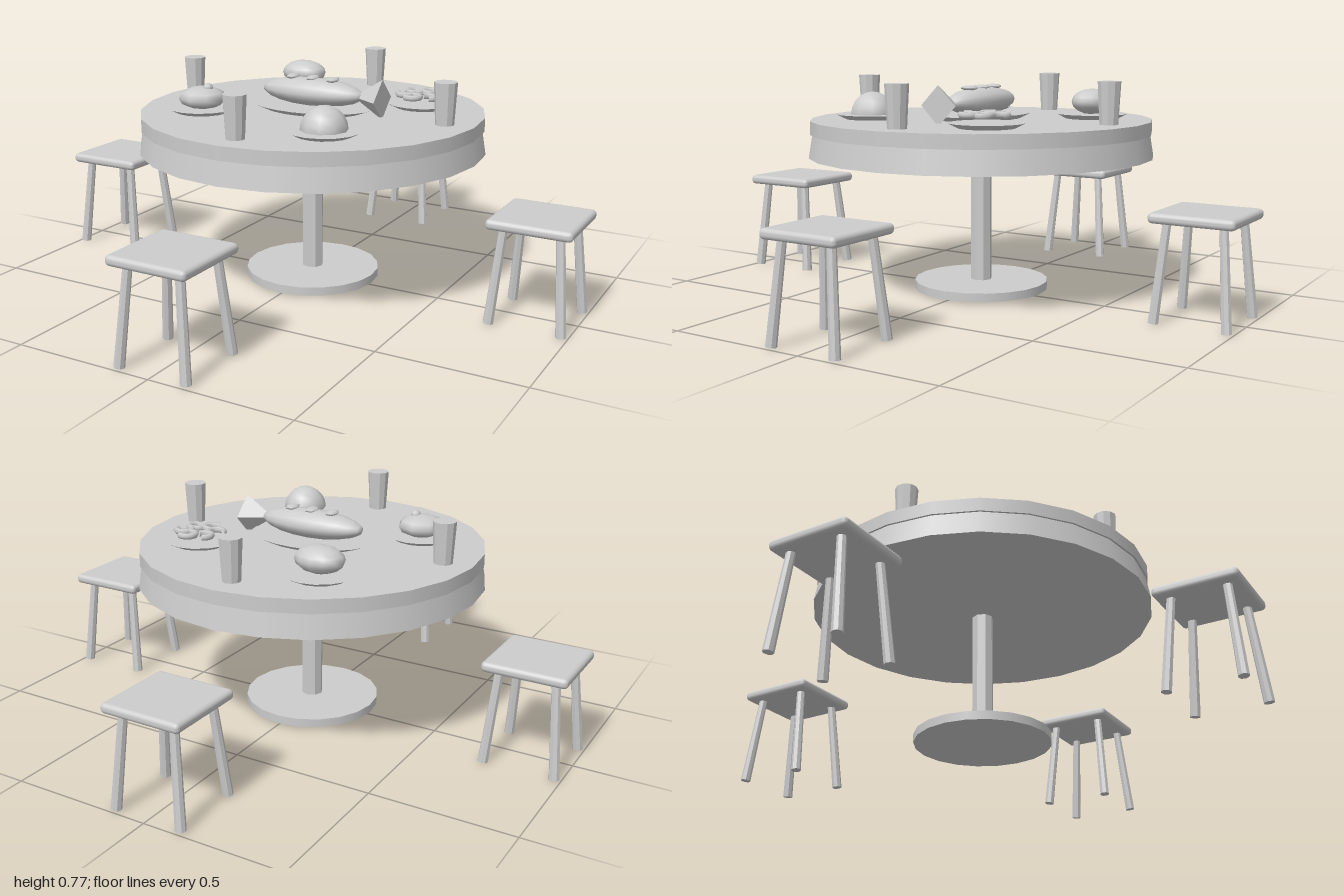
import * as THREE from 'three';
import { RoundedBoxGeometry } from 'three/addons/geometries/RoundedBoxGeometry.js';

const plaster = new THREE.MeshStandardMaterial({ color: 0xcccccc });
plaster.name = 'plainGrey';

// Faceted normals for low-sided parts
function faceted(geometry) {
  const g = geometry.toNonIndexed();
  g.computeVertexNormals();
  return g;
}

function add(parent, name, geometry, x = 0, y = 0, z = 0) {
  const mesh = new THREE.Mesh(geometry, plaster);
  mesh.name = name;
  mesh.position.set(x, y, z);
  parent.add(mesh);
  return mesh;
}

function addGroup(parent, name, x = 0, y = 0, z = 0) {
  const group = new THREE.Group();
  group.name = name;
  group.position.set(x, y, z);
  parent.add(group);
  return group;
}

// Cylinder given by its bottom and top heights
function column(rTop, rBottom, y0, y1, sides) {
  return new THREE.CylinderGeometry(rTop, rBottom, y1 - y0, sides).translate(0, (y0 + y1) / 2, 0);
}

function ellipsoid(rx, ry, rz, w = 12, h = 8) {
  return new THREE.SphereGeometry(1, w, h).scale(rx, ry, rz);
}

// Round table on a single foot
function buildTable(root) {
  const table = addGroup(root, 'table');
  add(table, 'tableTop', column(0.61, 0.61, 0.582, 0.63, 24));
  add(table, 'tableSkirt', column(0.603, 0.617, 0.5, 0.582, 24));
  add(table, 'tablePole', faceted(column(0.038, 0.038, 0.03, 0.5, 8)));
  add(table, 'tableFoot', column(0.242, 0.242, 0.013, 0.043, 20));
}

// Stool with four splayed legs
function buildStool(root, x, z) {
  const stool = addGroup(root, 'stool', x, 0, z);
  add(stool, 'seat', new RoundedBoxGeometry(0.29, 0.035, 0.29, 2, 0.015), 0, 0.3525, 0);
  const up = new THREE.Vector3(0, 1, 0);
  for (const sx of [-1, 1]) for (const sz of [-1, 1]) {
    const foot = new THREE.Vector3(sx * 0.123, 0.008, sz * 0.123);
    const top = new THREE.Vector3(sx * 0.094, 0.342, sz * 0.094);
    const dir = top.clone().sub(foot);
    const mid = top.clone().add(foot).multiplyScalar(0.5);
    const leg = add(stool, 'stoolLeg', faceted(new THREE.CylinderGeometry(0.015, 0.018, dir.length(), 8)), mid.x, mid.y, mid.z);
    leg.quaternion.setFromUnitVectors(up, dir.normalize());
  }
}

// Shallow plate with an outward-sloping side
function buildDish(root, name, x, z) {
  const dish = addGroup(root, name, x, 0, z);
  add(dish, 'plate', column(0.128, 0.095, 0.63, 0.647, 16));
  return dish;
}

// Whole fish on an oval platter
function buildFish(root) {
  const dish = addGroup(root, 'fishDish');
  add(dish, 'platter', column(1, 0.8, 0.63, 0.648, 24).scale(0.234, 1, 0.157));
  add(dish, 'fishBody', ellipsoid(0.05, 0.2, 0.073, 12, 10).rotateZ(Math.PI / 2), 0, 0.693, 0);
  const tail = faceted(new THREE.ConeGeometry(0.07, 0.11, 4).rotateZ(Math.PI / 2));
  add(dish, 'fishTail', tail, 0.218, 0.69, 0);
  for (const x of [-0.08, 0, 0.08]) add(dish, 'garnishSlice', ellipsoid(0.022, 0.009, 0.034, 6, 5), x, 0.742, 0);
}

export function createModel() {
  const root = new THREE.Group();
  root.name = 'diningSet';
  buildTable(root);

  // Stools and cups, one on each side
  for (const [x, z] of [[1, 0], [-1, 0], [0, 1], [0, -1]]) {
    buildStool(root, x * 0.855, z * 0.855);
    add(root, 'cup', faceted(column(0.04, 0.032, 0.63, 0.775, 10)), x * 0.505, 0, z * 0.505);
  }

  buildFish(root);

  // Bread roll
  const bread = buildDish(root, 'breadDish', -0.222, -0.33);
  add(bread, 'breadRoll', ellipsoid(0.088, 0.046, 0.068), 0, 0.69, 0);

  // Rice mound
  const rice = buildDish(root, 'riceDish', 0.22, 0.32);
  const dome = new THREE.SphereGeometry(0.08, 10, 5, 0, Math.PI * 2, 0, Math.PI / 2);
  add(rice, 'riceMound', dome, 0, 0.647, 0);

  // Dumpling with a small knob
  const dumpling = buildDish(root, 'dumplingDish', -0.323, 0.217);
  add(dumpling, 'dumplingBody', ellipsoid(0.085, 0.04, 0.085, 8, 6), 0, 0.678, 0);
  add(dumpling, 'dumplingKnob', ellipsoid(0.018, 0.018, 0.018, 8, 6), 0.024, 0.714, 0);

  // Ring of curled shrimp
  const shrimp = buildDish(root, 'shrimpDish', 0.323, -0.225);
  for (let i = 0; i < 6; i++) {
    const a = (i / 6) * Math.PI * 2 + 0.3;
    const curl = new THREE.TorusGeometry(0.028, 0.011, 6, 10, Math.PI * 1.3).rotateX(-Math.PI / 2);
    const mesh = add(shrimp, 'shrimp', curl, Math.cos(a) * 0.058, 0.674, -Math.sin(a) * 0.058);
    mesh.rotation.y = a - 0.4;
  }
  return root;
}
